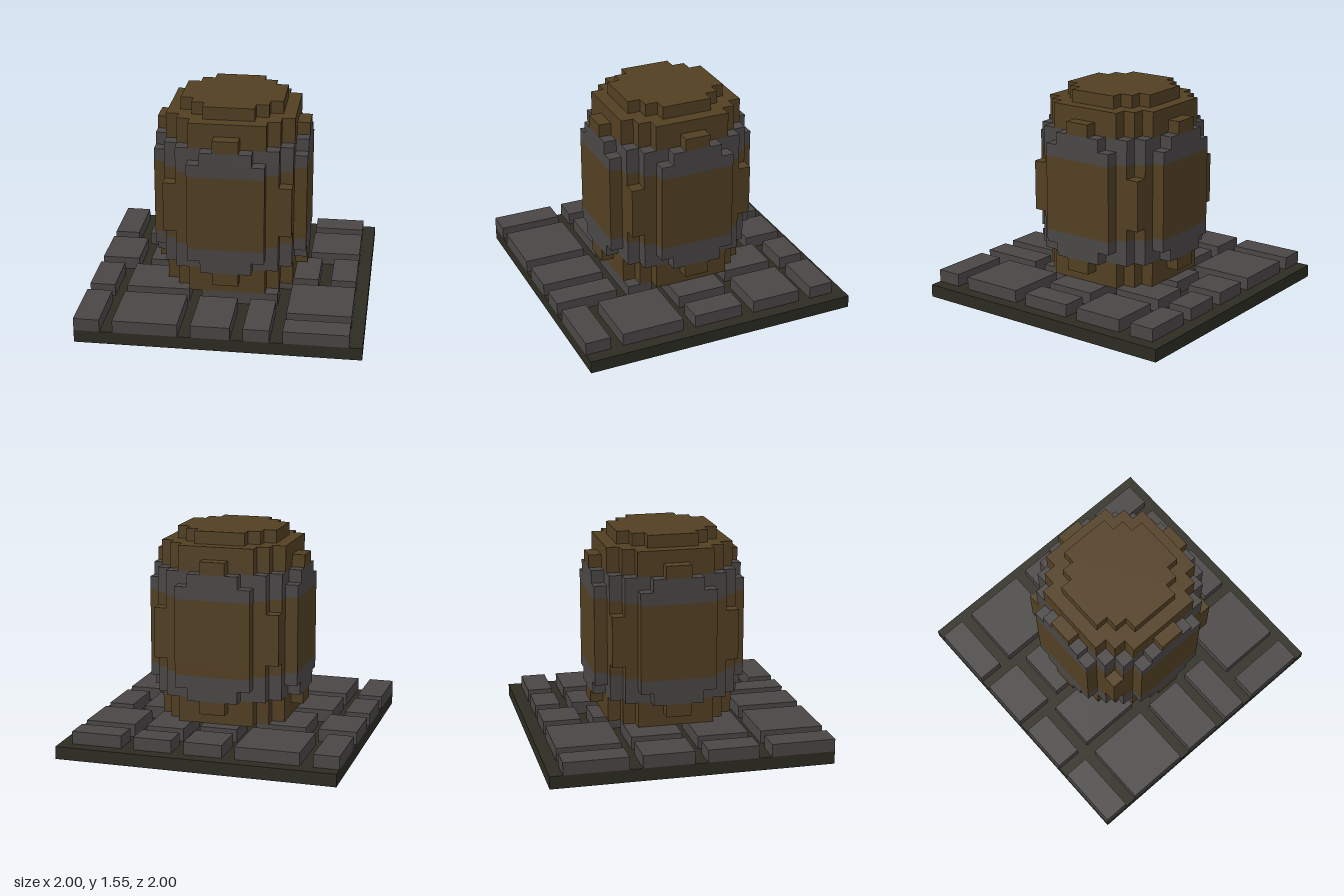
import * as THREE from 'three';

const U = 1 / 11; // one block; the base is 22 blocks wide

const wood = new THREE.MeshStandardMaterial({ color: 0x523f22 });
wood.name = 'wood';
const iron = new THREE.MeshStandardMaterial({ color: 0x4a4646 });
iron.name = 'grey';
const mortar = new THREE.MeshStandardMaterial({ color: 0x2c2c22 });
mortar.name = 'mortar';

// Box from block coordinates, x and z counted from the back right corner of the base
function block(name, material, x0, x1, y0, y1, z0, z1) {
  const geo = new THREE.BoxGeometry((x1 - x0) * U, (y1 - y0) * U, (z1 - z0) * U);
  const mesh = new THREE.Mesh(geo, material);
  mesh.position.set(((x0 + x1) / 2 - 11) * U, ((y0 + y1) / 2) * U, ((z0 + z1) / 2 - 11) * U);
  mesh.name = name;
  return mesh;
}

// Stepped round slice: quarter corners are turned four times and extruded upward
function slice(name, material, steps, y0, y1) {
  const quarter = [];
  steps.forEach(([x, z], i) => {
    if (i > 0) quarter.push([x, steps[i - 1][1]]);
    quarter.push([x, z]);
  });
  const points = [];
  for (let q = 0; q < 4; q++) {
    for (const [x, z] of quarter) {
      points.push(new THREE.Vector2(x * U, z * U).rotateAround(new THREE.Vector2(), q * Math.PI / 2));
    }
  }
  const geo = new THREE.ExtrudeGeometry(new THREE.Shape(points), { depth: (y1 - y0) * U, bevelEnabled: false });
  geo.rotateX(-Math.PI / 2);
  const mesh = new THREE.Mesh(geo, material);
  mesh.position.y = y0 * U;
  mesh.name = name;
  return mesh;
}

export function createModel() {
  const model = new THREE.Group();
  model.name = 'barrelOnPaving';

  // Ground slab
  model.add(block('base', mortar, 0, 22, 0, 1, 0, 22));

  // Paving stones: x0, x1, z0, z1
  const paving = new THREE.Group();
  paving.name = 'paving';
  const stones = [
    [0, 2, 1, 6], [3, 8, 1, 6], [9, 12, 1, 4], [13, 16, 1, 3], [17, 21, 1, 3],
    [13, 16, 4, 8], [17, 21, 4, 8], [9, 12, 5, 8],
    [0, 3, 7, 11], [4, 8, 7, 11], [9, 18, 9, 13], [19, 21, 9, 13],
    [0, 2, 12, 16], [3, 8, 12, 16], [9, 15, 14, 16], [16, 21, 14, 19],
    [0, 2, 17, 22], [3, 8, 17, 22], [9, 12, 17, 22], [13, 15, 17, 22], [16, 21, 20, 22],
  ];
  for (const [x0, x1, z0, z1] of stones) {
    paving.add(block('pavingStone', iron, x0, x1, 1, 2, z0, z1));
  }
  model.add(paving);

  // Barrel outlines as half widths, widest x first
  const lid = [[4, 2], [3, 3], [2, 4]];
  const end = [[5, 3], [4, 4], [3, 5]];
  const shoulder = [[6, 1], [5, 3], [4, 4], [3, 5], [1, 6]];
  const hoopEdge = [[6, 2], [5, 4], [4, 5], [2, 6]];
  const hoop = [[6, 3], [5, 4], [4, 5], [3, 6]];
  const belly = [[6, 3], [5, 5], [3, 6]];

  // Barrel, stacked from bottom to top
  const barrel = new THREE.Group();
  barrel.name = 'barrel';
  barrel.add(
    slice('bottomEnd', wood, end, 2, 3),
    slice('lowerShoulder', wood, shoulder, 3, 4),
    slice('lowerHoopEdge', iron, hoopEdge, 4, 5),
    slice('lowerHoop', iron, hoop, 5, 6),
    slice('lowerStaves', wood, hoop, 6, 7),
    slice('bellyStaves', wood, belly, 7, 11),
    slice('upperStaves', wood, hoop, 11, 12),
    slice('upperHoop', iron, hoop, 12, 13),
    slice('upperHoopEdge', iron, hoopEdge, 13, 14),
    slice('upperShoulder', wood, shoulder, 14, 15),
    slice('topEnd', wood, end, 15, 16),
    slice('lid', wood, lid, 16, 17),
  );
  model.add(barrel);

  return model;
}
